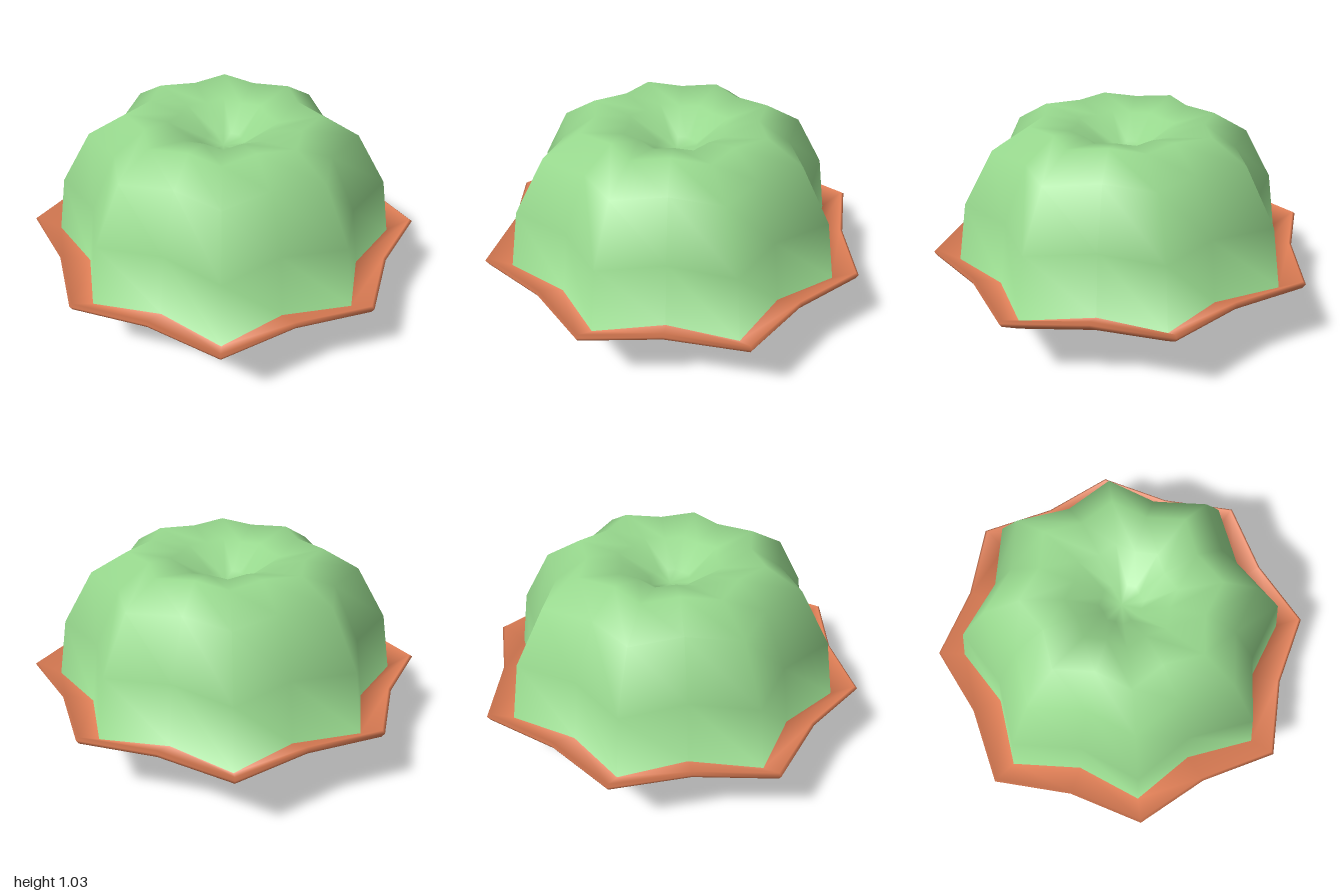
import * as THREE from 'three';

const SIDES = 16; // eight points and eight valleys

// Rings from the underside centre, over the rim, up to the crown: [radius, y, valley ratio]
const plateRings = [
  [0, 0.03, 1], [0.1, 0.002, 0.9], [0.14, 0, 0.89], [0.2, 0.05, 0.89], [0.62, 0.185, 0.89],
  [0.87, 0.29, 0.89], [0.985, 0.37, 0.89], [1, 0.395, 0.89], [0.985, 0.405, 0.89], [0.873, 0.335, 0.85],
];
const domeRings = [
  [0.873, 0.335, 0.85], [0.82, 0.645, 0.85], [0.665, 0.92, 0.85], [0.48, 1.03, 0.85],
  [0.27, 0.99, 0.87], [0.11, 0.88, 0.9], [0, 0.86, 1],
];

export function createModel() {
  const rings = [...plateRings, ...domeRings.slice(1)];

  // One shared skin of star-shaped rings, so that shading flows across the seam
  const positions = [];
  for (const [r, y, valley] of rings) {
    for (let i = 0; i < SIDES; i++) {
      const a = (i / SIDES) * Math.PI * 2;
      const k = i % 2 ? valley : i % 4 ? 1.022 : 1; // valley, diagonal point, axis point
      positions.push(r * k * Math.sin(a), y, r * k * Math.cos(a));
    }
  }
  const vertex = (j, i) => j * SIDES + (rings[j][0] === 0 ? 0 : i % SIDES);

  // Faces between two rings of the skin
  const faces = (from, to) => {
    const index = [];
    for (let j = from; j < to; j++) {
      for (let i = 0; i < SIDES; i++) {
        const a = vertex(j, i), b = vertex(j, i + 1);
        const c = vertex(j + 1, i + 1), d = vertex(j + 1, i);
        if (a !== b) index.push(a, b, d);
        if (c !== d) index.push(b, c, d);
      }
    }
    return index;
  };

  const skin = new THREE.BufferGeometry();
  skin.setAttribute('position', new THREE.Float32BufferAttribute(positions, 3));
  skin.setIndex(faces(0, rings.length - 1));
  skin.computeVertexNormals();

  const group = new THREE.Group();
  const addPart = (name, color, from, to) => {
    const geometry = skin.clone();
    geometry.setIndex(faces(from, to));
    const mesh = new THREE.Mesh(geometry, new THREE.MeshStandardMaterial({ color }));
    mesh.name = name;
    group.add(mesh);
  };

  const seam = plateRings.length - 1;
  addPart('plate', 0xe07f56, 0, seam);
  addPart('dome', 0x98d98e, seam, rings.length - 1);
  return group;
}
